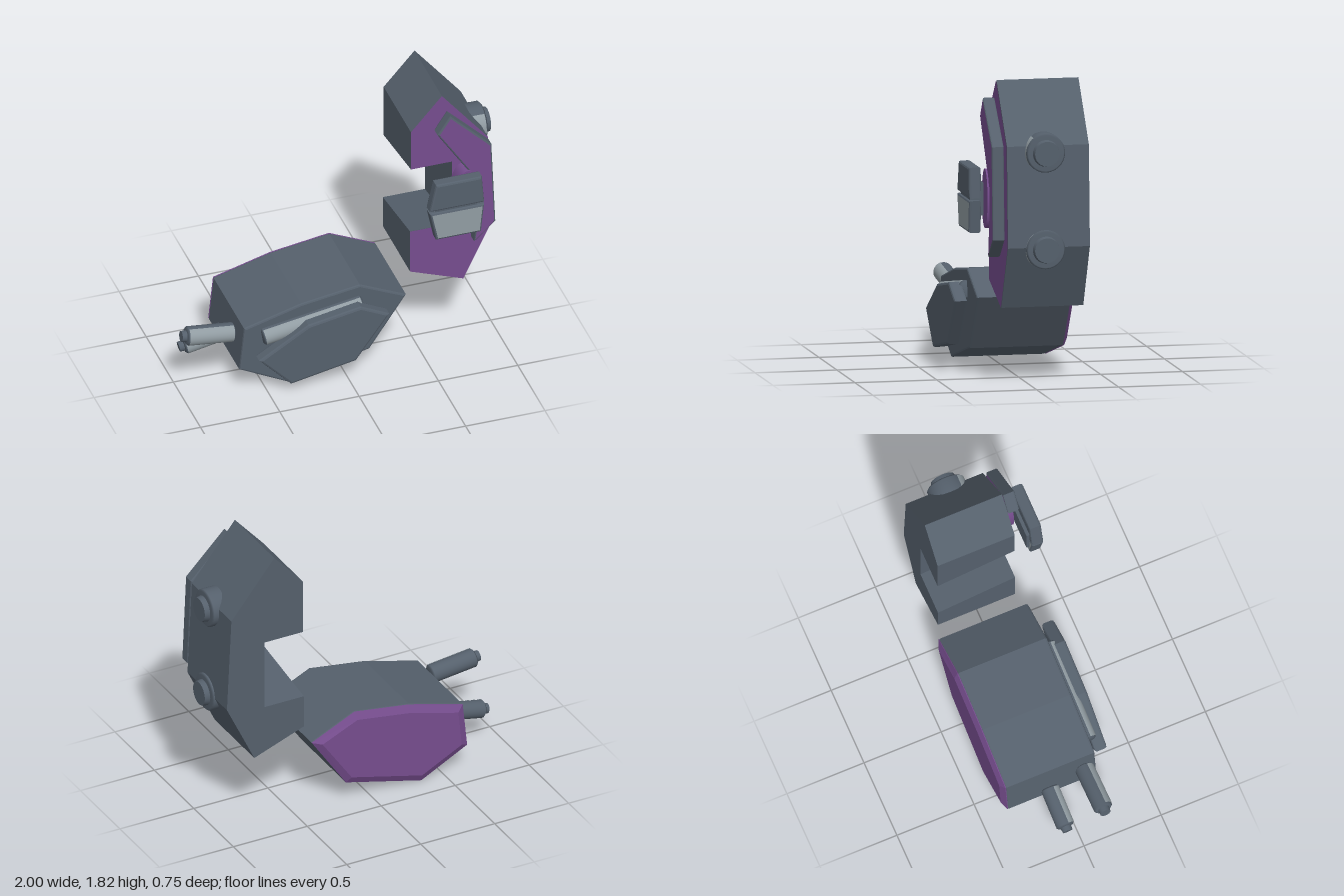
import * as THREE from 'three';

const mat = (name, color) => {
  const m = new THREE.MeshStandardMaterial({ color });
  m.name = name;
  return m;
};

export function createModel() {
  const root = new THREE.Group();
  const slate = mat('slate', 0x55606c);
  const purple = mat('purple', 0x764d8e);
  const pale = mat('paleGrey', 0x919ca2);

  const add = (name, geometry, material, parent = root) => {
    const mesh = new THREE.Mesh(geometry, material);
    mesh.name = name;
    parent.add(mesh);
    return mesh;
  };
  const outline = (pts) => new THREE.Shape(pts.map(([x, y]) => new THREE.Vector2(x, y)));

  // Slab with an xy outline between two depths, with bevelled rims
  const slab = (pts, z0, z1, bevel, size = bevel, segments = 2) => {
    const g = new THREE.ExtrudeGeometry(outline(pts), {
      depth: z1 - z0 - 2 * bevel, bevelEnabled: bevel > 0, bevelThickness: bevel,
      bevelSize: size, bevelOffset: -size, bevelSegments: segments,
    });
    return g.translate(0, 0, z0 + bevel);
  };

  // Round rod from a to b (same depth), with a pale strip on its front side
  const rod = (name, a, b, z, r, tip, tipR, strip = 1.25) => {
    const dx = b[0] - a[0], dy = b[1] - a[1], len = Math.hypot(dx, dy);
    const group = new THREE.Group();
    group.name = name;
    group.position.set((a[0] + b[0]) / 2, (a[1] + b[1]) / 2, z);
    group.rotation.z = Math.atan2(dy, dx) - Math.PI / 2;
    const c = 0.01, h = len / 2;
    const profile = [[0, -h], [r - c, -h], [r, -h + c], [r, h - c], [r - c, h], [0, h]];
    add(name + 'Core', new THREE.LatheGeometry(profile.map(([x, y]) => new THREE.Vector2(x, y)), 28), slate, group);
    add(name + 'FrontStrip', new THREE.CylinderGeometry(r + 0.002, r + 0.002, len - 2 * c, 16, 1, true, -strip, 2 * strip), pale, group);
    if (tip) {
      const t = add(name + 'Tip', new THREE.CylinderGeometry(tipR * 0.9, tipR, tip + 0.01, 24), slate, group);
      t.position.y = h + tip / 2 - 0.005;
    }
    root.add(group);
  };

  // Lower faceted body with bevelled purple back panel
  const lower = [[-0.66, 0.16], [-0.35, 0], [0.16, 0.13], [0.39, 0.47], [0.1, 0.605], [-0.27, 0.55], [-0.63, 0.45]];
  add('lowerBody', slab(lower, -0.352, 0.228, 0.012), slate);
  add('lowerBackPanel', slab(lower, -0.375, -0.325, 0.023, 0.045, 1), purple);

  // Front shield and the rod behind it
  add('frontShield', slab([[-0.57, 0.27], [-0.37, 0.06], [0.04, 0.14], [0.25, 0.43], [0.07, 0.52], [-0.26, 0.46]], 0.255, 0.335, 0.015), slate);
  rod('shieldRod', [-0.52, 0.375], [0.11, 0.48], 0.23, 0.055, 0, 0);

  // Two side pegs
  rod('upperPeg', [-0.67, 0.385], [-0.97, 0.42], 0.14, 0.058, 0.03, 0.036);
  rod('lowerPeg', [-0.66, 0.245], [-0.91, 0.195], -0.08, 0.055, 0.03, 0.034);

  // C-shaped upper body; the notch drops towards the back
  const hook = [[0.44, 1.6], [0.44, 1.33], [0.7, 1.33], [0.7, 0.88], [0.435, 0.88], [0.435, 0.59],
    [0.77, 0.465], [0.955, 0.85], [0.925, 1.46], [0.635, 1.82]];
  const hookGeo = slab(hook, -0.335, 0.165, 0);
  const p = hookGeo.attributes.position;
  for (let i = 0; i < p.count; i++) {
    if (p.getZ(i) < 0 && p.getX(i) < 0.72 && p.getY(i) > 0.8 && p.getY(i) < 1.4) p.setY(i, p.getY(i) - 0.08);
  }
  hookGeo.computeVertexNormals();
  add('upperBody', hookGeo, slate);
  add('upperFrontFace', new THREE.ShapeGeometry(outline(hook)).translate(0, 0, 0.168), purple);

  // Raised trim and the boss at its middle
  add('trim', slab([[0.58, 1.6], [0.84, 1.2], [0.85, 1.1], [0.81, 0.78], [0.945, 0.9], [0.92, 1.46], [0.66, 1.72]], 0.182, 0.256, 0.01), [purple, slate]);
  const boss = add('boss', new THREE.CylinderGeometry(1, 1, 0.1, 32).rotateX(Math.PI / 2), purple);
  boss.scale.set(0.08, 0.18, 1);
  boss.position.set(0.765, 1.13, 0.216);

  // Two-part clasp with its link
  add('claspUpper', slab([[0.53, 1.325], [0.49, 1.14], [0.835, 1.14], [0.82, 1.325]], 0.3, 0.375, 0.013), slate);
  add('claspLower', slab([[0.49, 1.125], [0.53, 0.93], [0.815, 0.93], [0.835, 1.125]], 0.3, 0.375, 0.013), [pale, slate]);
  add('claspLink', new THREE.BoxGeometry(0.26, 0.2, 0.08).translate(0.66, 1.13, 0.32), slate);

  // Two bolts on the outer side
  for (const [name, y] of [['upperBolt', 1.42], ['lowerBolt', 0.837]]) {
    rod(name, [0.86, y], [0.967, y], -0.065, 0.118, 0.033, 0.083, 0.9);
  }
  return root;
}
